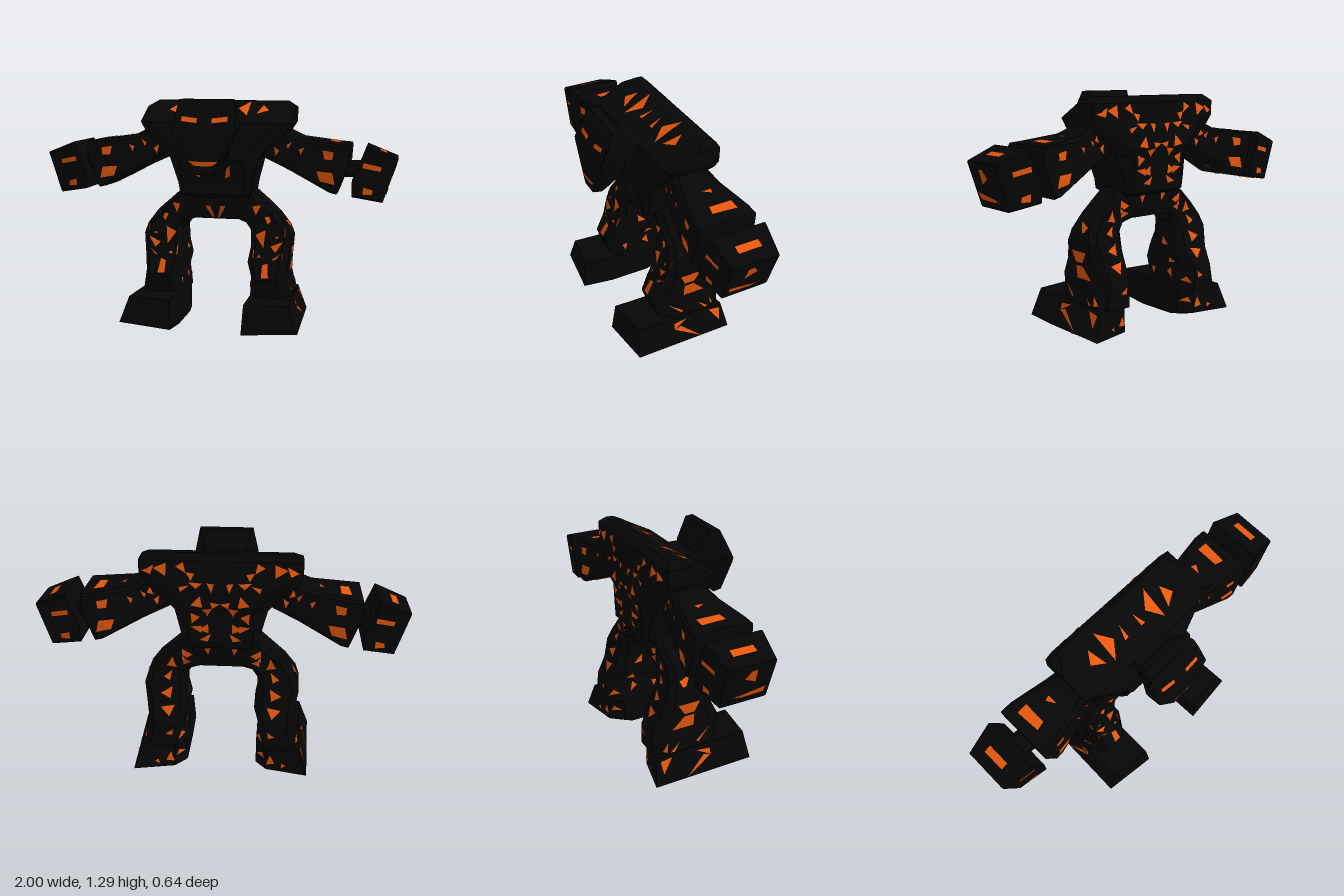
import * as THREE from 'three';

const rock = new THREE.MeshStandardMaterial({ color: 0x060606, flatShading: true });
const ember = new THREE.MeshStandardMaterial({ color: 0xe8580c, flatShading: true, side: THREE.DoubleSide });

// Section spanning a -> b in the xy plane and z0..z1 in depth, corners cut by fraction c
function ring(a, b, z0, z1, c = 0.15) {
  const uv = [[c, 0], [1 - c, 0], [1, c], [1, 1 - c], [1 - c, 1], [c, 1], [0, 1 - c], [0, c]];
  return uv.map(([u, v]) => [a[0] + (b[0] - a[0]) * u, a[1] + (b[1] - a[1]) * u, z0 + (z1 - z0) * v]);
}

// Level section, symmetric about x = 0
const level = (y, w, z0, z1, c) => ring([-w, y], [w, y], z0, z1, c);

// Upright six-sided section of the head: half width and height of brow, cheek and jaw
const mask = (z, [wt, yt], [wm, ym], [wb, yb]) =>
  [[wt, yt, z], [wm, ym, z], [wb, yb, z], [-wb, yb, z], [-wm, ym, z], [-wt, yt, z]];

// Skin a row of sections and cap both ends; s = -1 mirrors the part
function loft(name, rings, s = 1) {
  const tris = [], n = rings[0].length, last = rings.length - 1;
  for (let r = 0; r < last; r++) {
    for (let i = 0; i < n; i++) {
      const j = (i + 1) % n, A = rings[r], B = rings[r + 1];
      tris.push([A[i], A[j], B[j]], [A[i], B[j], B[i]]);
    }
  }
  for (let i = 1; i < n - 1; i++) {
    tris.push([rings[0][0], rings[0][i + 1], rings[0][i]]);
    tris.push([rings[last][0], rings[last][i], rings[last][i + 1]]);
  }
  // turn the faces outward
  const V = p => new THREE.Vector3(p[0] * s, p[1], p[2]);
  let faces = tris.map(t => t.map(V));
  const volume = faces.reduce((sum, [a, b, c]) => sum + a.dot(b.clone().cross(c)), 0);
  if (volume < 0) faces = faces.map(([a, b, c]) => [a, c, b]);
  const geo = new THREE.BufferGeometry().setFromPoints(faces.flat());
  geo.computeVertexNormals();
  const mesh = new THREE.Mesh(geo, rock);
  mesh.name = name;
  return mesh;
}

function limbs(s, side) {
  const arm = loft(side + 'Arm', [
    ring([0.38, 1.13], [0.24, 0.98], -0.17, 0.02),
    ring([0.48, 1.08], [0.42, 0.90], -0.2, 0.05, 0.1),
    ring([0.68, 1.05], [0.64, 0.79], -0.24, 0.08, 0.04),
    ring([0.745, 1.045], [0.68, 0.78], -0.24, 0.08, 0.04),
    ring([0.747, 1.03], [0.742, 0.945], -0.24, 0.08, 0.04)], s);
  const wrist = loft(side + 'Wrist', [
    ring([0.7, 0.95], [0.7, 0.865], -0.14, -0.02),
    ring([0.82, 0.95], [0.82, 0.865], -0.14, -0.02)], s);
  const fist = loft(side + 'Fist', [
    ring([0.797, 0.95], [0.76, 0.86], -0.24, 0.08, 0.03),
    ring([0.83, 1.04], [0.76, 0.77], -0.24, 0.08, 0.03),
    ring([1, 0.975], [0.925, 0.74], -0.21, 0.05, 0.03)], s);
  const leg = loft(side + 'Leg', [
    ring([0.19, 0.79], [0.08, 0.62], -0.17, 0.02),
    ring([0.27, 0.72], [0.12, 0.61], -0.18, 0.02),
    ring([0.35, 0.65], [0.17, 0.59], -0.165, 0.015),
    ring([0.41, 0.57], [0.2, 0.55], -0.18, 0.03),
    ring([0.43, 0.51], [0.2, 0.45], -0.205, 0.045),
    ring([0.42, 0.4], [0.185, 0.37], -0.235, 0.08, 0.18),
    ring([0.41, 0.3], [0.21, 0.29], -0.285, 0.13, 0.2),
    ring([0.44, 0.16], [0.2, 0.16], -0.285, 0.085, 0.18)], s);
  // foot: sole, rim and instep, with the outer heel drawn back and the inner one cut
  const foot = loft(side + 'Foot', [
    [[0.2, 0, -0.14], [0.26, 0, -0.2], [0.47, 0.01, -0.22], [0.47, 0.01, 0.11], [0.2, 0, 0.11]],
    [[0.2, 0.02, -0.19], [0.26, 0.02, -0.265], [0.49, 0.02, -0.315], [0.505, 0.04, 0.27], [0.2, 0.025, 0.3]],
    [[0.2, 0.17, -0.19], [0.26, 0.17, -0.26], [0.44, 0.17, -0.285], [0.45, 0.19, 0.25], [0.21, 0.19, 0.28]]], s);
  return [arm, wrist, fist, leg, foot];
}

// Glowing cracks on the +x half; corners are cast onto the rock along each direction
const cracks = {
  body: [
    [0.04, 1.17, 0.125, 1.18, 0.125, 1.205, 0.04, 1.195],
    [0, 0.945, 0.05, 0.948, 0.08, 0.972, 0, 0.968], [0.1, 0.87, 0.07, 0.855, 0.08, 0.91, 0.1, 0.93],
    [0, 0.71, 0.14, 0.71, 0.11, 0.745, 0, 0.73], [0.06, 0.69, 0.02, 0.62, 0.01, 0.62, 0.03, 0.69],
  ],
  arms: [
    [0.915, 0.935, 0.82, 0.957, 0.815, 0.93, 0.91, 0.91], [0.87, 0.81, 0.82, 0.825, 0.82, 0.785, 0.87, 0.785],
    [0.66, 1.01, 0.6, 1.02, 0.61, 0.97, 0.655, 0.97], [0.655, 0.9, 0.57, 0.905, 0.59, 0.85, 0.67, 0.835],
    [0.5, 1.03, 0.47, 1.02, 0.48, 0.99], [0.43, 1.06, 0.4, 1.04, 0.41, 1.02], [0.36, 1.01, 0.33, 1.03, 0.34, 0.98],
  ],
  legs: [
    [0.4, 0.57, 0.34, 0.515, 0.4, 0.525], [0.39, 0.5, 0.32, 0.47, 0.35, 0.44], [0.39, 0.44, 0.33, 0.4, 0.39, 0.395],
    [0.31, 0.38, 0.28, 0.37, 0.28, 0.305, 0.32, 0.305], [0.29, 0.56, 0.23, 0.53, 0.28, 0.46],
    [0.27, 0.41, 0.22, 0.4, 0.22, 0.45], [0.34, 0.64, 0.28, 0.63, 0.3, 0.59], [0.26, 0.7, 0.21, 0.69, 0.23, 0.64],
  ],
  side: [
    [-0.04, 0.86, -0.11, 0.895, -0.08, 0.94, -0.045, 0.94], [0.03, 0.82, -0.15, 0.79, -0.1, 0.775, 0.02, 0.78],
    [-0.02, 0.46, -0.15, 0.46, -0.11, 0.395, -0.05, 0.395], [-0.05, 0.38, -0.11, 0.38, -0.18, 0.305, -0.05, 0.305],
    [-0.06, 0.61, -0.13, 0.59, -0.12, 0.56, -0.1, 0.56], [0.05, 0.27, -0.04, 0.21, -0.03, 0.2],
    [0.03, 0.155, -0.05, 0.16, 0.03, 0.12], [0.03, 0.12, -0.01, 0.13, -0.13, 0.03], [-0.2, 0.16, -0.27, 0.15, -0.26, 0.08],
    [-0.14, 0.23, -0.2, 0.185, -0.18, 0.18], [-0.21, 0.24, -0.24, 0.19, -0.22, 0.185],
  ],
  shoulders: [
    [0.175, -0.14, 0.175, 0.02, 0.11, -0.06], [0.07, -0.02, 0.045, -0.09, 0.045, -0.02], [0.22, 0, 0.29, -0.04, 0.25, -0.1],
  ],
  armTops: [
    [0.94, -0.15, 0.9, -0.15, 0.9, -0.02, 0.94, -0.02], [0.69, -0.17, 0.63, -0.17, 0.63, -0.04, 0.68, -0.03],
    [0.55, -0.11, 0.52, -0.12, 0.52, -0.06], [0.45, -0.14, 0.47, -0.05, 0.43, -0.06],
  ],
};
const rays = {
  front: ([u, v]) => [[u, v, 3], [0, 0, -1]],
  back: ([u, v]) => [[u, v, -3], [0, 0, 1]],
  side: ([u, v]) => [[3, v, u], [-1, 0, 0]],
  inside: ([u, v]) => [[0.001, v, u], [1, 0, 0]],
  top: ([u, v]) => [[u, 3, v], [0, -1, 0]],
  below: ([u, v]) => [[u, -3, v], [0, 1, 0]],
};
const pairs = list => list.flatMap((v, i) => (i % 2 ? [] : [[v, list[i + 1]]]));

// Jittered grid of jagged triangles over u0..u1, v0..v1
function scatter(u0, u1, v0, v1, step, size) {
  let seed = 11;
  const random = () => (seed = (seed * 16807) % 2147483647) / 2147483647;
  const out = [];
  for (let u = u0; u < u1; u += step) for (let v = v0; v < v1; v += step) {
    const cu = u + random() * step * 0.6, cv = v + random() * step * 0.6, turn = random() * 6.28;
    out.push([0, 1.8, 4].flatMap(a => {
      const r = size * (0.4 + 0.9 * random());
      return [cu + r * Math.cos(a + turn), cv + r * Math.sin(a + turn)];
    }));
  }
  return out;
}

// Cast polygons onto the rock; loose ones are dropped where they would cross an edge
function embers(name, rocks, toRay, polys, loose) {
  const caster = new THREE.Raycaster(), points = [];
  for (const poly of polys) {
    const hits = pairs(poly).map(p => {
      const [o, d] = toRay(p).map(a => new THREE.Vector3(...a));
      caster.set(o, d);
      const hit = caster.intersectObjects(rocks, false)[0];
      return hit && { p: hit.point.addScaledVector(d, -0.005), n: hit.face.normal, o: hit.object };
    });
    if (hits.some(h => !h || h.o !== hits[0].o)) continue;
    if (loose && hits.some(h => h.n.dot(hits[0].n) < 0.9)) continue;
    for (let i = 1; i < hits.length - 1; i++) {
      const tri = [hits[0].p, hits[i].p, hits[i + 1].p];
      points.push(...tri, ...tri.map(q => new THREE.Vector3(-q.x, q.y, q.z)).reverse());
    }
  }
  const geo = new THREE.BufferGeometry().setFromPoints(points);
  geo.computeVertexNormals();
  const mesh = new THREE.Mesh(geo, ember);
  mesh.name = name;
  return mesh;
}

export function createModel() {
  const body = new THREE.Group();
  body.name = 'stoneGiant';

  body.add(loft('torso', [
    level(0.74, 0.18, -0.2, 0.06), level(0.76, 0.2, -0.24, 0.085, 0.08), level(0.82, 0.21, -0.24, 0.085, 0.08),
    level(0.96, 0.25, -0.245, 0.14), level(1.0, 0.28, -0.26, 0.13), level(1.11, 0.4, -0.25, 0.1, 0.12),
    level(1.16, 0.43, -0.24, 0.08, 0.08), level(1.24, 0.43, -0.225, -0.08, 0.06), level(1.275, 0.38, -0.19, -0.15, 0.04)]));
  body.add(loft('pelvis', [
    level(0.61, 0.15, -0.15, 0.005), level(0.68, 0.19, -0.18, 0.035), level(0.77, 0.2, -0.2, 0.06)]));
  body.add(loft('neck', [
    level(0.95, 0.08, 0, 0.15), level(0.97, 0.09, 0, 0.2), level(1.06, 0.11, 0, 0.18), level(1.17, 0.11, 0, 0.15)]));
  body.add(loft('head', [
    mask(0.12, [0.11, 1.18], [0.11, 1.12], [0.1, 1.06]),
    mask(0.19, [0.14, 1.293], [0.15, 1.13], [0.09, 0.98]),
    mask(0.24, [0.15, 1.293], [0.18, 1.15], [0.07, 0.925]),
    mask(0.27, [0.16, 1.233], [0.18, 1.15], [0.055, 0.893]),
    mask(0.32, [0.17, 1.13], [0.16, 1.1], [0.05, 0.9])]));
  body.add(...limbs(1, 'left'), ...limbs(-1, 'right'));
  body.updateMatrixWorld(true);

  const rocks = [...body.children];
  body.add(
    embers('frontEmbers', rocks, rays.front, [...cracks.body, ...cracks.arms, ...cracks.legs]),
    embers('sideEmbers', rocks, rays.side, cracks.side),
    embers('topEmbers', rocks, rays.top, [...cracks.shoulders, ...cracks.armTops]),
    embers('backArmEmbers', rocks, rays.back, cracks.arms),
    embers('underArmEmbers', rocks, rays.below, cracks.armTops),
    embers('backEmbers', rocks, rays.back, scatter(0.03, 0.42, 0.05, 1.24, 0.08, 0.037), true),
    embers('innerLegEmbers', rocks, rays.inside, scatter(-0.24, 0.06, 0.2, 0.56, 0.1, 0.037), true));
  return body;
}
